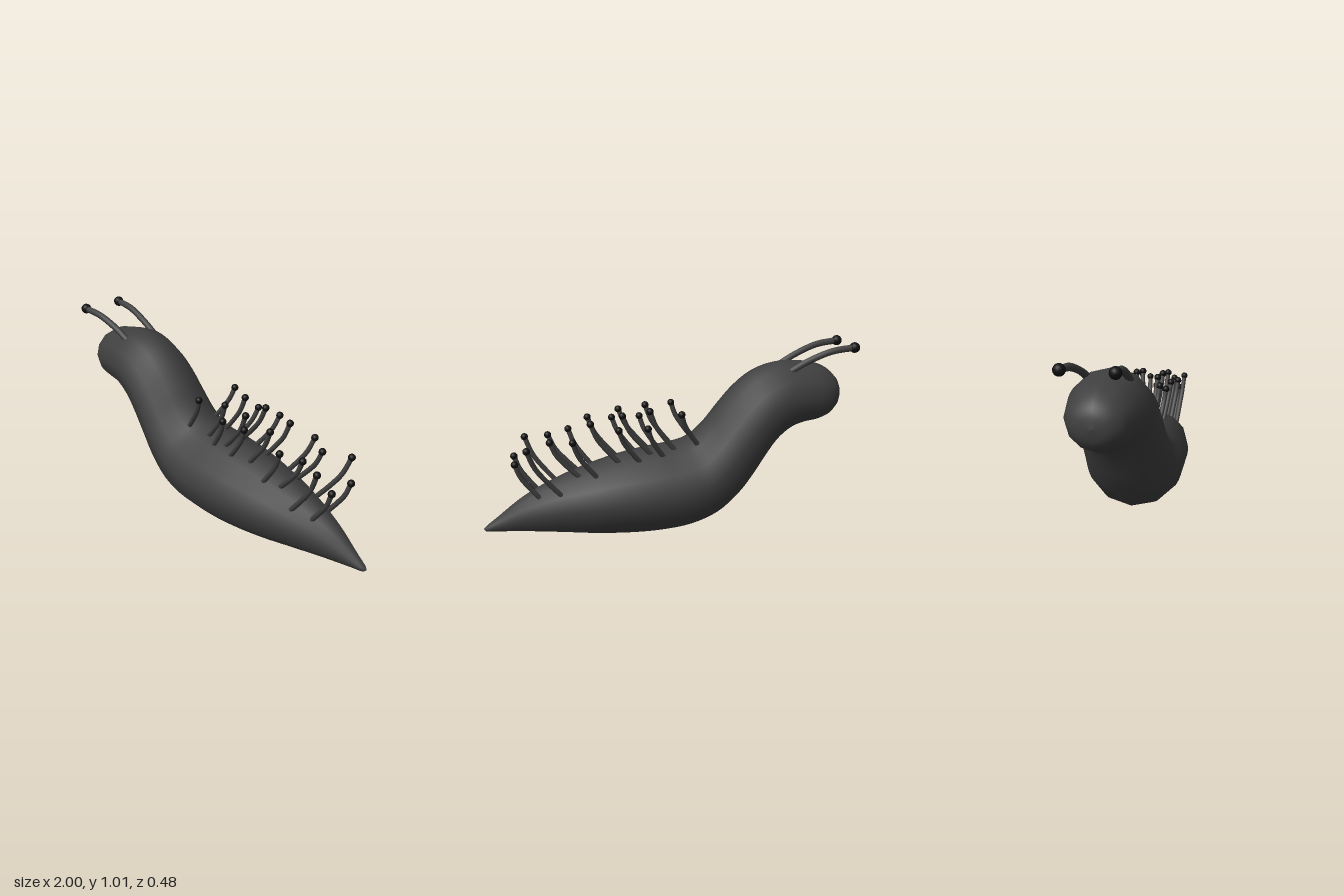
import * as THREE from 'three';

const skin = new THREE.MeshStandardMaterial({ color: 0x404040 });
const dark = new THREE.MeshStandardMaterial({ color: 0x101010 });

// Body sections from head to tail: top x, top y, bottom x, bottom y, half width
const SECTIONS = [
  [-0.94, 0.72, -0.94, 0.72, 0],
  [-0.925, 0.79, -0.92, 0.65, 0.075],
  [-0.885, 0.84, -0.88, 0.605, 0.125],
  [-0.81, 0.882, -0.80, 0.572, 0.16],
  [-0.70, 0.902, -0.715, 0.558, 0.178],
  [-0.58, 0.902, -0.65, 0.533, 0.19],
  [-0.46, 0.86, -0.58, 0.475, 0.2],
  [-0.36, 0.785, -0.515, 0.385, 0.207],
  [-0.27, 0.685, -0.45, 0.285, 0.213],
  [-0.19, 0.585, -0.37, 0.185, 0.223],
  [-0.11, 0.515, -0.25, 0.085, 0.233],
  [-0.02, 0.487, -0.10, 0.027, 0.24],
  [0.10, 0.47, 0.06, 0.006, 0.238],
  [0.25, 0.442, 0.22, 0.003, 0.225],
  [0.42, 0.395, 0.41, 0.013, 0.195],
  [0.60, 0.33, 0.59, 0.03, 0.145],
  [0.78, 0.24, 0.77, 0.045, 0.085],
  [0.92, 0.135, 0.92, 0.055, 0.036],
  [0.985, 0.085, 0.985, 0.06, 0.014],
  [0.997, 0.072, 0.997, 0.072, 0],
];

// Smooth twelve-sided skin lofted through the sections
function bodyGeometry(sides = 12, steps = 76) {
  const spline = (f) => new THREE.CatmullRomCurve3(SECTIONS.map(f));
  const top = spline((s) => new THREE.Vector3(s[0], s[1], s[4]));
  const bottom = spline((s) => new THREE.Vector3(s[2], s[3], s[4]));
  const positions = [];
  const index = [];
  for (let i = 0; i <= steps; i++) {
    const t = top.getPoint(i / steps);
    const b = bottom.getPoint(i / steps);
    const width = (t.z + b.z) / 2;
    for (let j = 0; j < sides; j++) {
      const a = (j / sides) * Math.PI * 2;
      const k = (1 + Math.cos(a)) / 2;
      positions.push(b.x + (t.x - b.x) * k, b.y + (t.y - b.y) * k, width * Math.sin(a));
      if (i === steps) continue;
      const p = i * sides + j;
      const q = i * sides + ((j + 1) % sides);
      index.push(p, q, p + sides, q, q + sides, p + sides);
    }
  }
  const geometry = new THREE.BufferGeometry();
  geometry.setAttribute('position', new THREE.Float32BufferAttribute(positions, 3));
  geometry.setIndex(index);
  geometry.computeVertexNormals();
  return geometry;
}

// Curved stalk with a dark ball on its end
function stalk(name, points, radius, ballRadius) {
  const group = new THREE.Group();
  group.name = name;
  const path = new THREE.CatmullRomCurve3(points.map((p) => new THREE.Vector3(...p)));
  const stem = new THREE.Mesh(new THREE.TubeGeometry(path, 12, radius, 8), skin);
  stem.name = name + 'Stem';
  const ball = new THREE.Mesh(new THREE.SphereGeometry(ballRadius, 16, 12), dark);
  ball.name = name + 'Ball';
  ball.position.set(...points[points.length - 1]);
  group.add(stem, ball);
  return group;
}

// Back feelers: base x, base y, tip x, tip y
const OUTER = [
  [-0.115, 0.515, -0.03, 0.675],
  [0.065, 0.455, 0.145, 0.61],
  [0.19, 0.435, 0.295, 0.61],
  [0.415, 0.365, 0.53, 0.56],
  [0.605, 0.285, 0.76, 0.53],
];
const INNER = [
  [0, 0.48, 0.12, 0.68],
  [0.12, 0.455, 0.265, 0.665],
  [0.295, 0.425, 0.43, 0.63],
  [0.505, 0.36, 0.64, 0.545],
  [0.715, 0.265, 0.82, 0.44],
];
// Rows across the back: feelers, base z, tip z
const ROWS = [
  [OUTER, 0.095, 0.113],
  [INNER, 0.06, 0.072],
  [INNER, -0.065, -0.077],
  [OUTER, -0.11, -0.154],
];

export function createModel() {
  const model = new THREE.Group();
  model.name = 'slug';

  const body = new THREE.Mesh(bodyGeometry(), skin);
  body.name = 'body';
  model.add(body);

  // Eye stalks
  for (const side of [1, -1]) {
    model.add(stalk(side > 0 ? 'leftEyeStalk' : 'rightEyeStalk', [
      [-0.63, 0.862, side * 0.097],
      [-0.72, 0.912, side * 0.102],
      [-0.85, 0.963, side * 0.112],
      [-0.972, 0.98, side * 0.118],
    ], 0.018, 0.028));
  }

  // Rows of feelers leaning back and curling upward
  const feelers = new THREE.Group();
  feelers.name = 'backFeelers';
  for (const [row, z0, z1] of ROWS) {
    for (const [x0, y0, x1, y1] of row) {
      const at = (u, v) => [x0 + (x1 - x0) * u, y0 + (y1 - y0) * v, z0 + (z1 - z0) * v];
      feelers.add(stalk('feeler', [at(-0.12, -0.1), at(0.35, 0.25), at(0.75, 0.6), at(1, 1)], 0.013, 0.019));
    }
  }
  model.add(feelers);
  return model;
}
